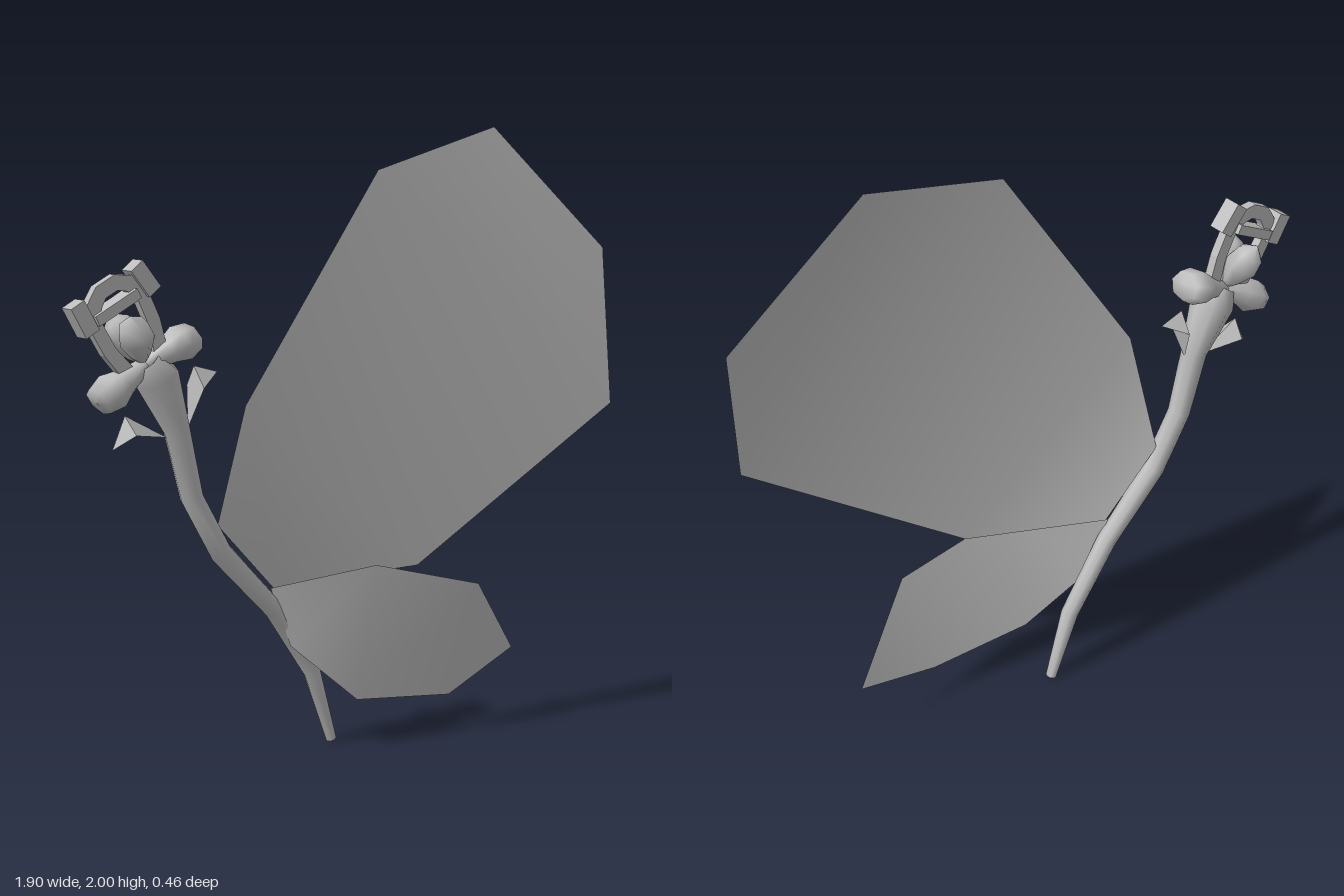
import * as THREE from 'three';

const Z = -0.138; // plane of the stem and flower

export function createModel() {
  const model = new THREE.Group();
  const grey = new THREE.MeshStandardMaterial({ color: 0xbcbcbc, side: THREE.DoubleSide });
  grey.name = 'plain grey';

  const add = (name, geometry, parent = model) => {
    const mesh = new THREE.Mesh(geometry, grey);
    mesh.name = name;
    parent.add(mesh);
    return mesh;
  };
  const surface = (points, index) => {
    const g = new THREE.BufferGeometry();
    g.setAttribute('position', new THREE.Float32BufferAttribute(points.flat(), 3));
    g.setIndex(index);
    g.computeVertexNormals();
    return g;
  };

  // Leaves: cross-sections given as left and right edge points, base to tip
  const leaf = (name, rows) => {
    const index = [];
    for (let i = 0; i < rows.length - 1; i++) {
      const a = i * 2;
      index.push(a, a + 1, a + 2, a + 1, a + 3, a + 2);
    }
    add(name, surface(rows.flat(), index));
  };
  leaf('largeLeaf', [
    [[-0.455, 0.785, -0.14], [-0.26, 0.56, -0.12]],
    [[-0.425, 1.17, -0.025], [0.19, 0.6, 0.055]],
    [[0.02, 1.87, 0.06], [0.875, 1.09, 0.24]],
    [[0.51, 2.0, 0.047], [0.935, 1.6, 0.13]],
  ]);
  leaf('smallLeaf', [
    [[-0.27, 0.56, -0.12], [-0.2, 0.36, -0.11]],
    [[0.02, 0.625, 0.055], [0, 0.165, -0.02]],
    [[0.41, 0.515, 0.108], [0.345, 0.13, 0.037]],
    [[0.65, 0.235, 0.015], [0.65, 0.235, 0.015]],
  ]);

  // Stem: x, y and radius of each ring, flaring under the flower
  const path = [
    [-0.017, 0.005, 0.018], [-0.095, 0.25, 0.029], [-0.25, 0.49, 0.033], [-0.447, 0.7, 0.037],
    [-0.55, 0.886, 0.037], [-0.6, 1.1, 0.042], [-0.668, 1.265, 0.072], [-0.705, 1.315, 0.045],
  ];
  const SIDES = 8, rings = [], faces = [];
  path.forEach(([x, y, r], i) => {
    const p = path[Math.max(i - 1, 0)], n = path[Math.min(i + 1, path.length - 1)];
    const d = new THREE.Vector2(n[0] - p[0], n[1] - p[1]).normalize();
    for (let j = 0; j < SIDES; j++) {
      const a = (j / SIDES) * Math.PI * 2, c = Math.cos(a) * r;
      rings.push([x + d.y * c, y - d.x * c, Z - Math.sin(a) * r]);
      if (i === 0) continue;
      const k = (j + 1) % SIDES, lo = (i - 1) * SIDES, hi = i * SIDES;
      faces.push(lo + j, lo + k, hi + j, lo + k, hi + k, hi + j);
    }
  });
  for (let j = 1; j < SIDES - 1; j++) faces.push(0, j + 1, j);
  add('stem', surface(rings, faces));

  // Flower head, tilted to follow the stem
  const flower = new THREE.Group();
  flower.name = 'flower';
  flower.position.set(-0.71, 1.305, Z);
  flower.rotation.z = 0.48;
  model.add(flower);

  const petalShape = (pts, sides) =>
    new THREE.LatheGeometry(pts.map(([r, y]) => new THREE.Vector2(r, y)), sides);

  for (const s of [-1, 1]) {
    // Side petals: flared knobs
    const side = add('sidePetal', petalShape(
      [[0, -0.02], [0.022, 0], [0.042, 0.09], [0.058, 0.135], [0.046, 0.185], [0, 0.19]], 7), flower);
    side.rotation.z = -s * 1.64;
    side.scale.z = 1.25;

    // Front and back petals: upright egg shapes
    const upright = add('uprightPetal', petalShape(
      [[0, 0], [0.03, 0.04], [0.055, 0.1], [0.045, 0.15], [0, 0.185]], 7), flower);
    upright.rotation.x = s * 0.33;

    // Square tabs on the arch
    const tab = add('archTab', new THREE.BoxGeometry(0.05, 0.1, 0.055), flower);
    tab.position.set(s * 0.116, 0.23, 0);
    tab.rotation.z = s * 0.08 + 0.1;
  }

  // Flat arch around the petals
  const outer = [[0.085, 0], [0.108, 0.1], [0.112, 0.19], [0.085, 0.26], [0.035, 0.29]];
  const inner = [[0.035, 0], [0.064, 0.1], [0.068, 0.18], [0.05, 0.225], [0.022, 0.245]];
  const flip = (pts) => pts.map(([x, y]) => [-x, y]).reverse();
  const outline = [...outer, ...flip(outer), ...flip(inner).reverse(), ...inner.slice().reverse()];
  const arch = new THREE.ExtrudeGeometry(
    new THREE.Shape(outline.map(([x, y]) => new THREE.Vector2(x, y))),
    { depth: 0.03, bevelEnabled: false });
  add('arch', arch.translate(0, 0, -0.015), flower);
  add('crossBar', new THREE.BoxGeometry(0.16, 0.032, 0.06), flower).position.set(-0.005, 0.205, 0);

  // Sepals: base, top, wide edge and outward tip of each
  const sepals = [
    [[-0.56, 1.1], [-0.535, 1.29], [-0.53, 1.225], [-0.45, 1.265]],
    [[-0.635, 1.08], [-0.78, 1.16], [-0.77, 1.105], [-0.825, 1.06]],
  ];
  for (const [base, top, edge, tip] of sepals) {
    const pts = [[...base, Z], [...top, Z], [...edge, Z + 0.048], [...edge, Z - 0.048], [...tip, Z]];
    const g = surface(pts, [0, 1, 2, 0, 3, 1, 0, 2, 3, 4, 2, 1, 4, 1, 3, 4, 3, 2]).toNonIndexed();
    g.computeVertexNormals();
    add('sepal', g);
  }
  return model;
}
